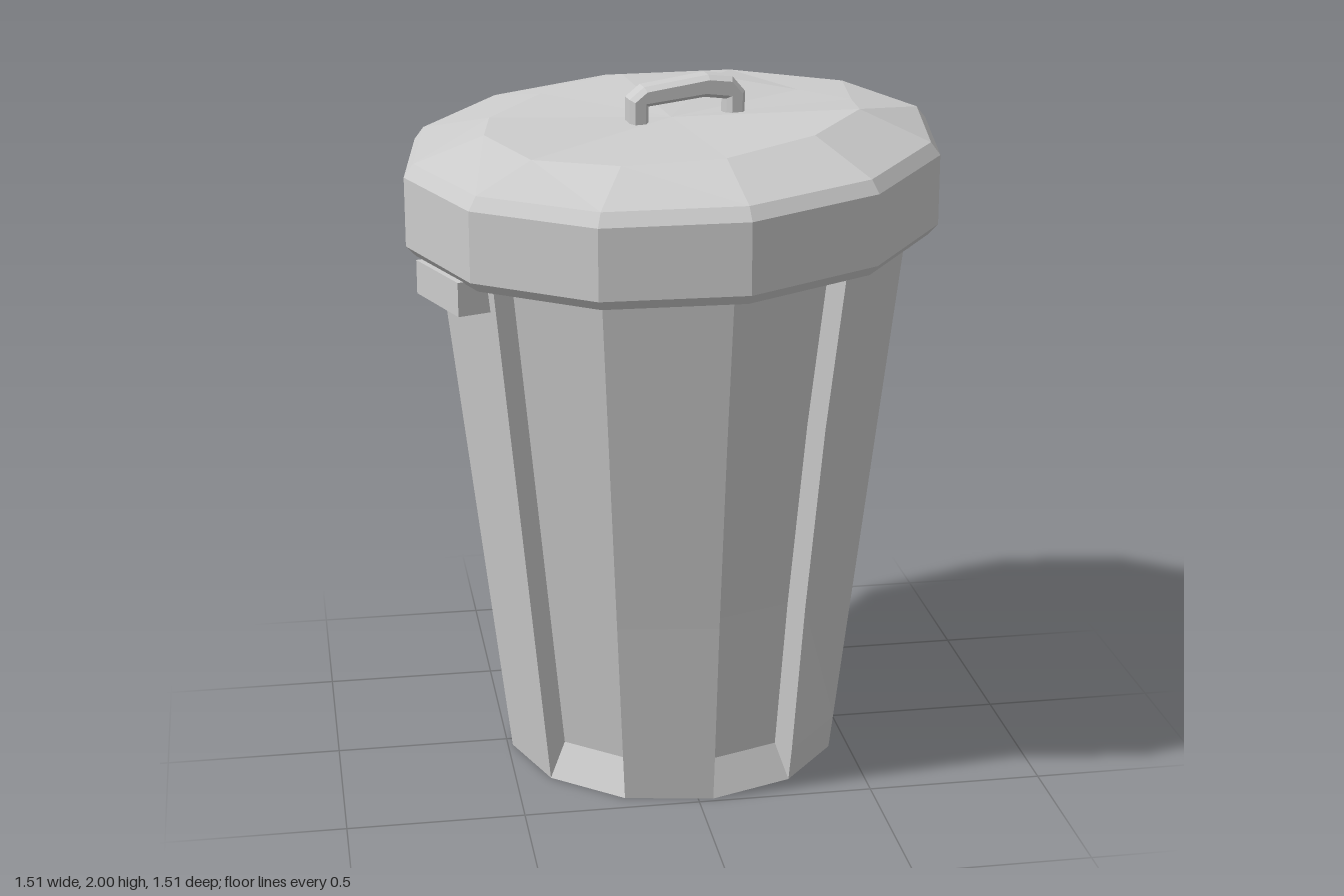
import * as THREE from 'three';

const material = new THREE.MeshStandardMaterial({ color: 0xcccccc, flatShading: true });
const rad = THREE.MathUtils.degToRad;

// Point at a compass angle (degrees, from +x towards +z), radius and height
const polar = (deg, r, y) => new THREE.Vector3(r * Math.cos(rad(deg)), y, r * Math.sin(rad(deg)));

function mesh(name, geometry) {
  const m = new THREE.Mesh(geometry, material);
  m.name = name;
  return m;
}

// Skin a stack of closed rings, listed so that the outside faces out
function skin(rings) {
  const positions = [];
  const tri = (a, b, c) => {
    const area = b.clone().sub(a).cross(c.clone().sub(a)).length();
    if (area > 1e-7) for (const p of [a, b, c]) positions.push(p.x, p.y, p.z);
  };
  for (let i = 0; i + 1 < rings.length; i++) {
    const low = rings[i], high = rings[i + 1], n = low.length;
    for (let j = 0; j < n; j++) {
      const k = (j + 1) % n;
      tri(low[j], high[j], high[k]);
      tri(low[j], high[k], low[k]);
    }
  }
  const geometry = new THREE.BufferGeometry();
  geometry.setAttribute('position', new THREE.Float32BufferAttribute(positions, 3));
  geometry.computeVertexNormals();
  return geometry;
}

// Tapered twelve-sided bin with every second side sunk in as a bevelled panel
function bodyRing(y, depth, dent) {
  const r = 0.488 + 0.118 * y;
  const points = [];
  for (let k = 0; k < 6; k++) {
    const start = -5 + 60 * k;
    const a = polar(start, r, y);
    const b = polar(start + 30, r - (k === 4 || k === 1 ? dent * 0.5 : 0), y);
    if (k === 1 || k === 4) a.multiply(new THREE.Vector3(1 - dent, 1, 1 - dent));
    const inward = polar(start + 15, -depth, 0);
    const along = b.clone().sub(a).normalize().multiplyScalar(depth * 0.35);
    points.push(a, a.clone().add(inward).add(along), b.clone().add(inward).sub(along), b);
  }
  return points;
}

function makeBody() {
  // height, panel depth, dent
  const rows = [[0, 0, 0], [0.1, 0.06, 0], [0.55, 0.06, 0.02], [1.1, 0.06, 0.02],
    [1.53, 0.06, 0], [1.61, 0, 0], [1.72, 0, 0]];
  const rings = rows.map(([y, depth, dent]) => bodyRing(y, depth, dent));
  const centre = rings[0].map(() => new THREE.Vector3(0, 0, 0));
  return mesh('body', skin([centre, ...rings]));
}

// Tilted twelve-sided lid with a bevelled rim and a slightly buckled top
function makeLid() {
  const ring = (r, y) => Array.from({ length: 12 }, (_, i) => {
    const p = polar(-6.5 + 30 * i, r, y);
    p.y += 0.047 * (p.x - p.z);
    return p;
  });
  const topHeights = [1.90, 1.93, 1.91, 1.88, 1.86, 1.845, 1.86, 1.85, 1.87, 1.90, 1.895, 1.88];
  const top = ring(0.535, 0);
  top.forEach((p, i) => { p.y = topHeights[i]; });
  const centre = (y) => top.map(() => new THREE.Vector3(0, y, 0));
  return mesh('lid', skin([
    centre(1.74), ring(0.69, 1.74), ring(0.70, 1.575), ring(0.735, 1.57), ring(0.762, 1.6),
    ring(0.762, 1.795), ring(0.735, 1.83), top, centre(1.88),
  ]));
}

// Arched grip on the lid
function makeLidHandle() {
  const outline = [[-0.155, 1.86], [-0.155, 1.935], [-0.12, 1.963], [0.06, 1.988], [0.125, 1.98],
    [0.155, 1.945], [0.155, 1.87], [0.125, 1.87], [0.125, 1.94], [0.05, 1.95], [-0.125, 1.93], [-0.125, 1.86]];
  const shape = new THREE.Shape(outline.map(([x, y]) => new THREE.Vector2(x, y)));
  const geometry = new THREE.ExtrudeGeometry(shape, {
    depth: 0.05, bevelThickness: 0.02, bevelSize: 0.012, bevelSegments: 1,
  });
  geometry.translate(0, 0, -0.025);
  const handle = mesh('lidHandle', geometry);
  handle.position.set(0.04, 0, 0);
  handle.rotation.y = rad(6);
  return handle;
}

// Squared side grip: a bar on two legs
function makeSideHandle(name, deg) {
  const group = new THREE.Group();
  group.name = name;
  const bar = mesh('gripBar', new THREE.BoxGeometry(0.04, 0.095, 0.27));
  bar.position.set(0.71, 1.483, 0);
  group.add(bar);
  for (const side of [-1, 1]) {
    const leg = mesh('gripLeg', new THREE.BoxGeometry(0.09, 0.095, 0.05));
    leg.position.set(0.665, 1.483, side * 0.11);
    group.add(leg);
  }
  group.rotation.y = -rad(deg);
  return group;
}

export function createModel() {
  const model = new THREE.Group();
  model.name = 'trashCan';
  model.add(
    makeBody(), makeLid(), makeLidHandle(),
    makeSideHandle('leftHandle', -20), makeSideHandle('rightHandle', 160),
  );
  return model;
}
